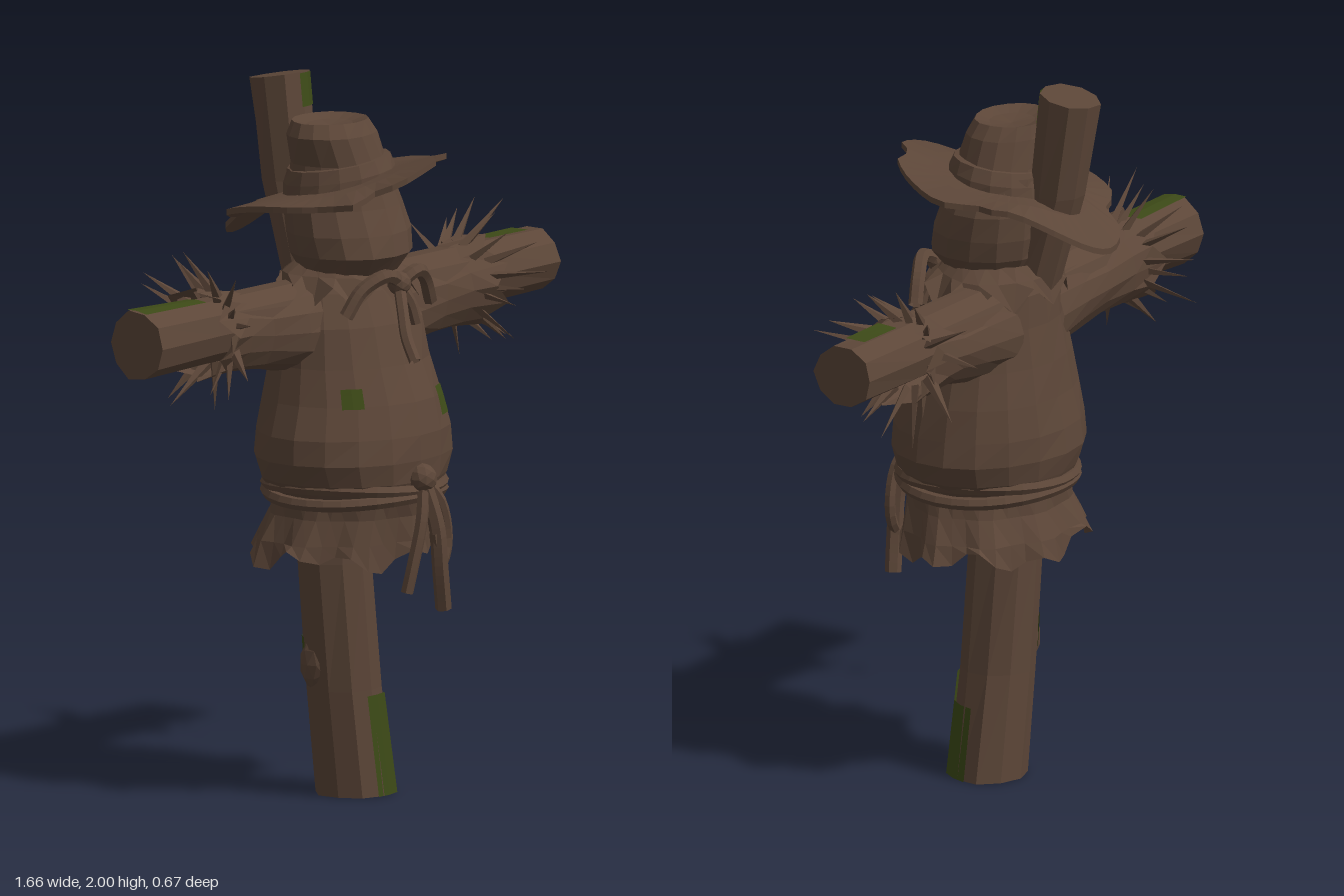
import * as THREE from 'three';

const brown = new THREE.MeshStandardMaterial({ color: 0x5c4638, flatShading: true, side: THREE.DoubleSide });
brown.name = 'weatheredBrown';
const moss = new THREE.MeshStandardMaterial({ color: 0x3d4a17, flatShading: true, side: THREE.DoubleSide });
moss.name = 'mossGreen';

let seed = 7;
const rnd = () => (seed = (seed * 16807) % 2147483647) / 2147483647;
const V = (x, y, z) => new THREE.Vector3(x, y, z);

// Grid surface from f(u, v); u runs round, v runs along the part
function grid(f, nu, nv, u0, u1, v0, v1) {
  const pos = [], idx = [];
  for (let j = 0; j <= nv; j++)
    for (let i = 0; i <= nu; i++) {
      const p = f(u0 + (u1 - u0) * i / nu, v0 + (v1 - v0) * j / nv);
      pos.push(p.x, p.y, p.z);
    }
  for (let j = 0; j < nv; j++)
    for (let i = 0; i < nu; i++) {
      const a = j * (nu + 1) + i, b = a + 1, c = a + nu + 1, d = c + 1;
      idx.push(a, b, d, a, d, c);
    }
  const g = new THREE.BufferGeometry();
  g.setAttribute('position', new THREE.Float32BufferAttribute(pos, 3));
  g.setIndex(idx);
  g.computeVertexNormals();
  return g;
}

// Faceted surface through rings [y, centreX, centreZ, radiusX, radiusZ]
function rings(keys, sides, rough = 0, deform) {
  const corner = (i, j, grow) => {
    const a = (i % sides) / sides * Math.PI * 2, [y, cx, cz, rx, rz] = keys[j];
    const n = 1 + rough * (Math.sin(3 * a + 1.9 * j) + Math.sin(5 * a - 1.3 * j)) / 2;
    const p = V(cx + (rx * n + grow) * Math.sin(a), y, cz + (rz * n + grow) * Math.cos(a));
    if (deform) deform(p, a, j, i % sides);
    return p;
  };
  const at = (u, v, grow = 0) => {
    const s = (u + 1) * sides, i = Math.floor(s + 1e-6), j = Math.min(Math.floor(v), keys.length - 2);
    const low = corner(i, j, grow).lerp(corner(i + 1, j, grow), s - i);
    return low.lerp(corner(i, j + 1, grow).lerp(corner(i + 1, j + 1, grow), s - i), v - j);
  };
  return {
    geometry: () => grid(at, sides, keys.length - 1, 0, 1, 0, keys.length - 1),
    patch: (u0, u1, v0, v1) => grid((u, v) => at(u, v, 0.006), 2, 3, u0, u1, v0, v1),
  };
}

export function createModel() {
  const model = new THREE.Group();
  const add = (name, geo, mat = brown, parent = model) => {
    const m = new THREE.Mesh(geo, mat);
    m.name = name;
    parent.add(m);
    return m;
  };
  const rope = (name, pts, r, closed = false, n = 14) =>
    add(name, new THREE.TubeGeometry(new THREE.CatmullRomCurve3(pts.map(p => V(...p)), closed), n, r, 6, closed));
  const ball = (name, r, x, y, z) => add(name, new THREE.IcosahedronGeometry(r, 1)).position.set(x, y, z);

  // Leaning lower post with moss
  const post = rings([[0, 0.015, 0.015, 0, 0], [0, 0.015, 0.015, 0.115, 0.107], [0.3, -0.025, 0.01, 0.106, 0.103],
    [0.66, -0.06, 0.005, 0.102, 0.103], [0.95, -0.06, 0, 0.1, 0.1]], 10, 0.04);
  add('post', post.geometry());
  add('postMoss', post.patch(-0.03, 0.1, 1, 1.95), moss);
  add('postMossSide', post.patch(0.1, 0.24, 1, 1.68), moss);
  add('postMossBack', post.patch(0.58, 0.66, 2.15, 2.4), moss);
  const knot = add('postKnot', new THREE.IcosahedronGeometry(0.06, 1));
  knot.position.set(-0.1, 0.37, -0.02);
  knot.scale.set(0.75, 1.3, 0.9);

  // Top of the post, leaning back behind the hat
  const top = rings([[1.4, -0.03, -0.1, 0.078, 0.075], [1.7, -0.03, -0.185, 0.078, 0.078], [1.985, -0.03, -0.225, 0.08, 0.085],
    [1.985, -0.03, -0.225, 0, 0]], 9, 0.05, (p, a, j) => { if (j > 1) p.y += (p.z + 0.225) * 0.18; });
  add('postTop', top.geometry());
  add('postTopMoss', top.patch(-0.02, 0.13, 1.68, 1.99), moss);

  // Cross beam, shaped upright then laid along x
  const beam = rings([[-0.83, -1.355, -0.04, 0, 0], [-0.83, -1.355, -0.04, 0.098, 0.095], [-0.58, -1.36, -0.04, 0.09, 0.092],
    [0.58, -1.37, -0.045, 0.09, 0.092], [0.83, -1.375, -0.045, 0.088, 0.093], [0.83, -1.375, -0.045, 0, 0]], 10, 0.04);
  const lay = g => g.rotateZ(-Math.PI / 2);
  add('crossBeam', lay(beam.geometry()));
  add('beamMossRight', lay(beam.patch(0.69, 0.81, 1, 2)), moss);
  add('beamMossLeft', lay(beam.patch(0.7, 0.8, 3.1, 3.75)), moss);

  // Stuffed torso with mossy patches
  const torso = rings([[0.85, -0.005, 0.03, 0.23, 0.225], [0.9, -0.005, 0.028, 0.275, 0.243], [0.96, -0.005, 0.025, 0.302, 0.253],
    [1.03, -0.005, 0.025, 0.295, 0.248], [1.12, 0, 0.02, 0.272, 0.228], [1.22, 0, 0.01, 0.25, 0.2], [1.33, 0, 0.005, 0.232, 0.175],
    [1.42, 0, -0.015, 0.2, 0.15], [1.47, 0, -0.02, 0.15, 0.12], [1.5, 0, -0.02, 0, 0]], 18, 0.018);
  add('torso', torso.geometry());
  add('torsoMossRight', torso.patch(0.86, 0.9, 3.95, 4.5), moss);
  add('torsoMossLeft', torso.patch(0.07, 0.105, 3.4, 4.25), moss);

  // Sleeves with ragged cuffs and straw
  for (const s of [-1, 1]) {
    const arm = new THREE.Group();
    arm.name = s > 0 ? 'leftArm' : 'rightArm';
    model.add(arm);
    const sleeve = rings([[0.1, -1.32, -0.03, 0.135, 0.13], [0.24, -1.325, -0.035, 0.12, 0.115], [0.36, -1.33, -0.045, 0.103, 0.1],
      [0.46, -1.345, -0.05, 0.113, 0.11], [0.57, -1.35, -0.05, 0.128, 0.125]], 14, 0.05,
    (p, a, j, i) => { if (j === 4) p.y += i % 2 ? 0.03 : -0.035; });
    add('sleeve', lay(sleeve.geometry()), brown, arm);
    for (let i = 0; i < 20; i++) {
      const a = (i + rnd() * 0.6) / 20 * Math.PI * 2, len = 0.11 + rnd() * 0.08, out = 0.6 + rnd() * 0.75;
      const dir = V(Math.cos(out), Math.sin(out) * Math.cos(a), Math.sin(out) * Math.sin(a));
      const g = new THREE.ConeGeometry(0.02, len, 4).translate(0, len / 2, 0).scale(1, 1, 0.6);
      g.applyQuaternion(new THREE.Quaternion().setFromUnitVectors(V(0, 1, 0), dir));
      add('straw', g, brown, arm).position.set(0.49 + rnd() * 0.05, 1.36 + 0.095 * Math.cos(a), -0.05 + 0.095 * Math.sin(a));
    }
    arm.scale.x = s;
  }

  // Ragged shirt hem
  const hem = rings([[0.87, -0.005, 0.03, 0.235, 0.225], [0.8, 0, 0.02, 0.25, 0.215], [0.73, 0, 0.005, 0.28, 0.228],
    [0.685, 0, 0, 0.295, 0.235]], 36, 0, (p, a, j) => {
    const f = 1 + 0.025 * j * Math.sin(9 * a + 0.6);
    p.x *= f;
    p.z *= f;
    if (j === 3) p.y += 0.022 * Math.sin(9 * a + 2) + 0.018 * Math.sin(4 * a);
  });
  add('shirtHem', hem.geometry());

  // Rope belt, knot and hanging ends
  for (const y of [0.852, 0.882]) {
    const pts = [];
    for (let i = 0; i < 16; i++) {
      const a = i / 16 * Math.PI * 2;
      pts.push([-0.005 + 0.248 * Math.sin(a), y + 0.008 * Math.sin(2 * a + y * 90), 0.03 + 0.238 * Math.cos(a)]);
    }
    rope('beltRope', pts, 0.018, true, 32);
  }
  ball('beltKnot', 0.042, 0, 0.91, 0.275);
  rope('beltEndRight', [[0, 0.9, 0.28], [-0.03, 0.8, 0.3], [-0.06, 0.68, 0.295], [-0.075, 0.6, 0.285]], 0.018);
  rope('beltEndLeft', [[0, 0.9, 0.28], [0.02, 0.78, 0.31], [0.035, 0.66, 0.31], [0.06, 0.54, 0.3]], 0.023);
  rope('beltLoop', [[0, 0.91, 0.28], [0.05, 0.84, 0.3], [0.075, 0.72, 0.3], [0.04, 0.66, 0.305], [0.01, 0.76, 0.31]], 0.016);

  // Sack head
  add('head', rings([[1.43, 0, 0, 0.1, 0.1], [1.465, -0.01, 0.015, 0.135, 0.13], [1.52, -0.01, 0.02, 0.175, 0.168],
    [1.58, -0.01, 0.01, 0.184, 0.165], [1.65, -0.01, -0.005, 0.18, 0.152], [1.75, -0.02, -0.015, 0.15, 0.135]], 14, 0.02).geometry());

  // Pointed collar and tied neckerchief
  add('collar', rings([[1.5, 0, -0.01, 0.13, 0.125], [1.465, 0, -0.01, 0.18, 0.16], [1.415, 0, 0, 0.225, 0.185]], 20, 0.05,
    (p, a, j, i) => { if (j === 2) p.y += i % 2 ? 0.03 : -0.03; }).geometry());
  ball('neckKnot', 0.034, 0, 1.445, 0.19);
  rope('neckTailLong', [[0, 1.44, 0.19], [-0.035, 1.37, 0.235], [-0.06, 1.31, 0.27], [-0.07, 1.25, 0.31]], 0.017);
  rope('neckTailShort', [[0, 1.44, 0.19], [0.03, 1.39, 0.205], [0.045, 1.33, 0.215]], 0.016);
  for (const s of [-1, 1])
    rope('neckBow', [[0, 1.445, 0.19], [s * 0.06, 1.475, 0.2], [s * 0.13, 1.44, 0.17], [s * 0.175, 1.37, 0.15]], 0.02);

  // Tilted, torn hat brim: [angle, change of radius, width]
  const tears = [[-0.72, 0.2, 0.12], [-0.42, -0.12, 0.12], [0.5, -0.14, 0.1], [-2.4, -0.14, 0.12], [1.8, -0.12, 0.1], [1.5, 0.05, 0.2]];
  const profile = [[0.35, -1], [0.7, -1], [1, -0.7], [1, 0.7], [0.7, 1], [0.35, 1]];
  add('hatBrim', rings(profile.map(([r]) => [0, 0, 0, r * 0.308, r * 0.31]), 44, 0, (p, a, j) => {
    const r = profile[j][0], edge = Math.max(0, r - 0.5) * 2;
    let k = 1;
    for (const [at, d, w] of tears) k += edge * d * Math.exp(-(((a > Math.PI ? a - 2 * Math.PI : a) - at) ** 2) / (w * w));
    p.x = p.x * k - 0.02;
    p.z = p.z * k - 0.03;
    p.y = 1.705 + 0.14 * p.x + 0.19 * p.z - 0.9 * Math.max(0, -p.z - 0.2) ** 1.3
      + edge * 0.018 * Math.sin(3 * a + 0.5) + 0.012 * profile[j][1];
  }).geometry());

  // Dented crown and band
  add('hatCrown', rings([[1.68, -0.02, -0.01, 0.155, 0.14], [1.77, -0.025, -0.01, 0.14, 0.125], [1.85, -0.05, -0.015, 0.138, 0.115],
    [1.888, -0.052, -0.02, 0.115, 0.098], [1.875, -0.05, -0.02, 0.07, 0.06], [1.868, -0.05, -0.02, 0, 0]], 16, 0.03).geometry());
  add('hatBand', rings([[1.7, -0.02, -0.01, 0.166, 0.15], [1.735, -0.022, -0.01, 0.163, 0.147], [1.772, -0.026, -0.01, 0.15, 0.135],
    [1.775, -0.026, -0.01, 0.13, 0.115]], 16, 0.02, p => { p.y += 0.1 * p.x + 0.1 * p.z; }).geometry());

  return model;
}
